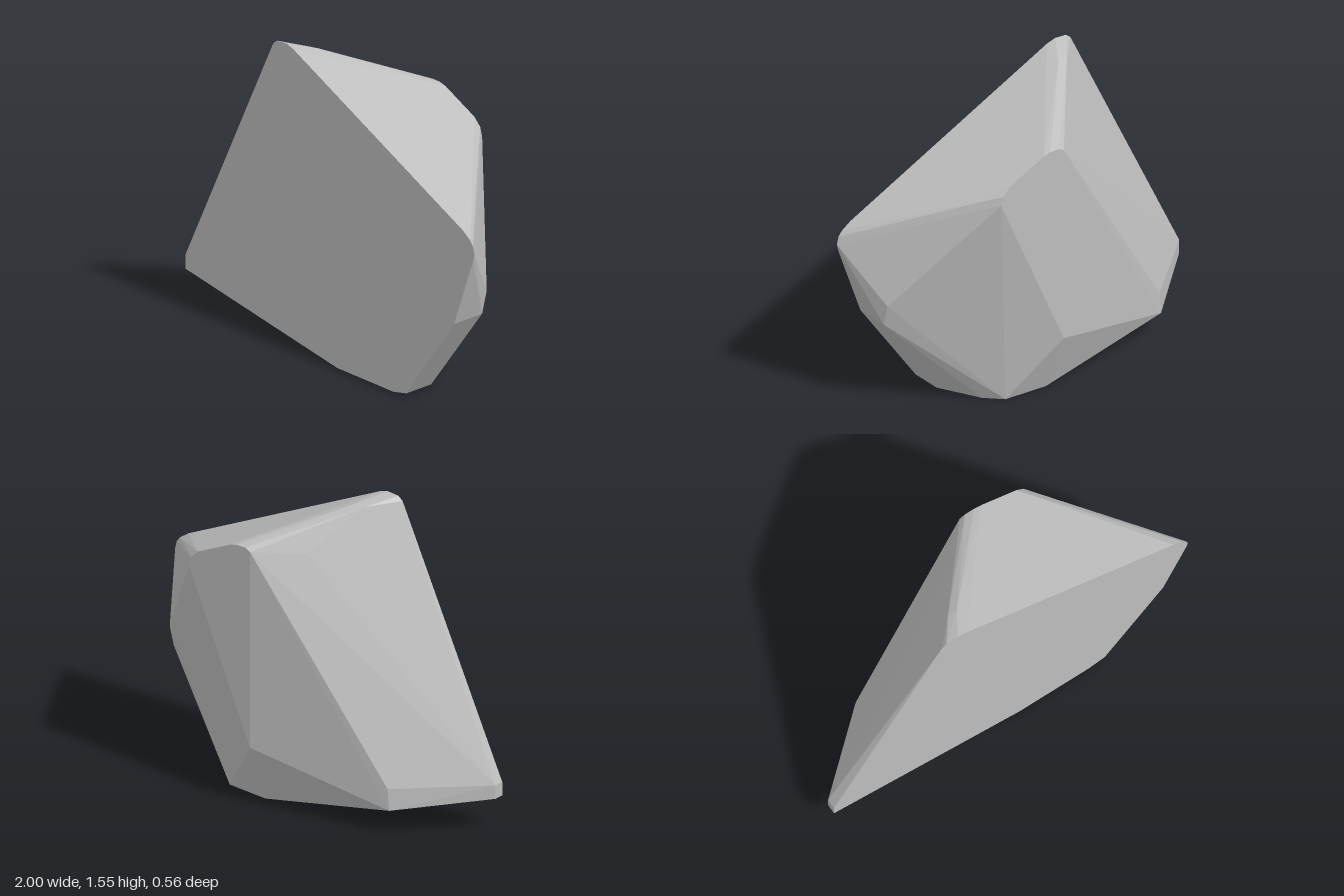
import * as THREE from 'three';
import { ConvexGeometry } from 'three/addons/geometries/ConvexGeometry.js';

export function createModel() {
  const group = new THREE.Group();
  group.name = 'rockFragment';
  const stone = new THREE.MeshStandardMaterial({ color: 0xbdbdbd });
  stone.name = 'pale grey stone';

  const points = [];
  const add = (z, outline) => outline.forEach(([x, y]) => points.push(new THREE.Vector3(x, y, z)));

  // Flat front face with worn corners
  add(0.28, [
    [-1, 0.18], [-1, 0.25], [-0.405, 1.5], [-0.39, 1.53], [-0.365, 1.55], [-0.3, 1.555], [-0.25, 1.54],
    [0.92, 0.98], [0.97, 0.945], [0.99, 0.92], [1, 0.88], [0.99, 0.84],
    [0.86, 0.48], [0.53, 0.02], [0.44, 0], [0.05, 0],
  ]);
  // Small flat back face
  add(-0.28, [
    [0.08, 0.31], [0.08, 1.325], [0.11, 1.34], [0.16, 1.34], [0.2, 1.33],
    [0.4, 1.235], [0.44, 1.195], [0.453, 1.15],
  ]);
  // Worn top ridge
  add(0.15, [[-0.27, 1.51], [-0.22, 1.518]]);
  add(-0.1, [[-0.12, 1.31]]);
  // Chipped right flank
  add(0.07, [[0.86, 0.59]]);
  add(0.1, [[0.86, 0.48]]);
  add(0.12, [[0.53, 0.02]]);
  // Underside rim and low left corner
  add(-0.14, [[0.32, 0]]);
  add(-0.06, [[0.4, 0]]);
  add(-0.155, [[0.09, 0]]);
  add(-0.11, [[-0.63, 0.13], [-0.62, 0.24]]);
  add(0.23, [[-1, 0.18], [-1, 0.25]]);

  const rock = new THREE.Mesh(new ConvexGeometry(points), stone);
  rock.name = 'rock';
  group.add(rock);
  return group;
}
